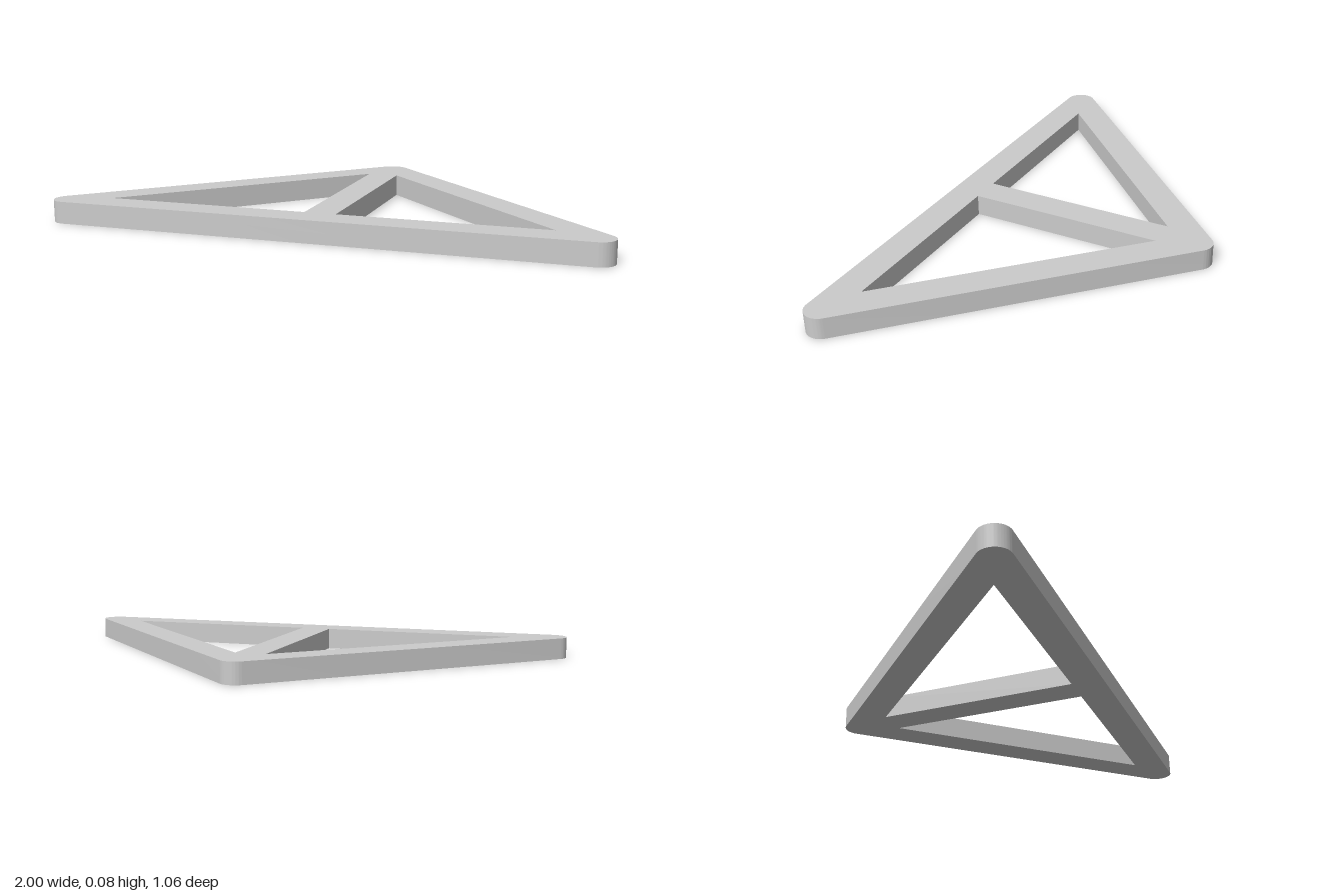
import * as THREE from 'three';
import { toCreasedNormals } from 'three/addons/utils/BufferGeometryUtils.js';

const R = 0.058;          // half width of the outer bars and corner radius
const STRUT = 0.057;      // half width of the middle strut
const HALF_X = 1 - R;     // corner centres form a right isosceles triangle
const HALF_Z = HALF_X / 2;
const HEIGHT = 0.08;

export function createModel() {
  const group = new THREE.Group();
  group.name = 'triangularFrame';

  // Outer outline with a rounded corner at each end of the bars
  const outline = new THREE.Shape();
  const corners = [
    [-HALF_X, -HALF_Z, 135, 270],
    [HALF_X, -HALF_Z, 270, 405],
    [0, HALF_Z, 45, 135],
  ];
  for (const [x, y, from, to] of corners) {
    outline.absarc(x, y, R, THREE.MathUtils.degToRad(from), THREE.MathUtils.degToRad(to), false);
  }
  outline.closePath();

  // Sharp triangular openings on both sides of the strut
  const base = -HALF_Z + R;
  const apex = HALF_Z - R * Math.SQRT2;
  for (const side of [-1, 1]) {
    outline.holes.push(new THREE.Path([
      new THREE.Vector2(side * STRUT, base),
      new THREE.Vector2(side * STRUT, apex - STRUT),
      new THREE.Vector2(side * (apex - base), base),
    ]));
  }

  // Lay the extruded frame flat, apex towards the back
  const extruded = new THREE.ExtrudeGeometry(outline, { depth: HEIGHT, bevelEnabled: false, curveSegments: 16 });
  extruded.rotateX(-Math.PI / 2);
  const frame = new THREE.Mesh(
    toCreasedNormals(extruded, Math.PI / 6),
    new THREE.MeshStandardMaterial({ color: 0xcccccc })
  );
  frame.name = 'frameWithStrut';
  group.add(frame);
  return group;
}
